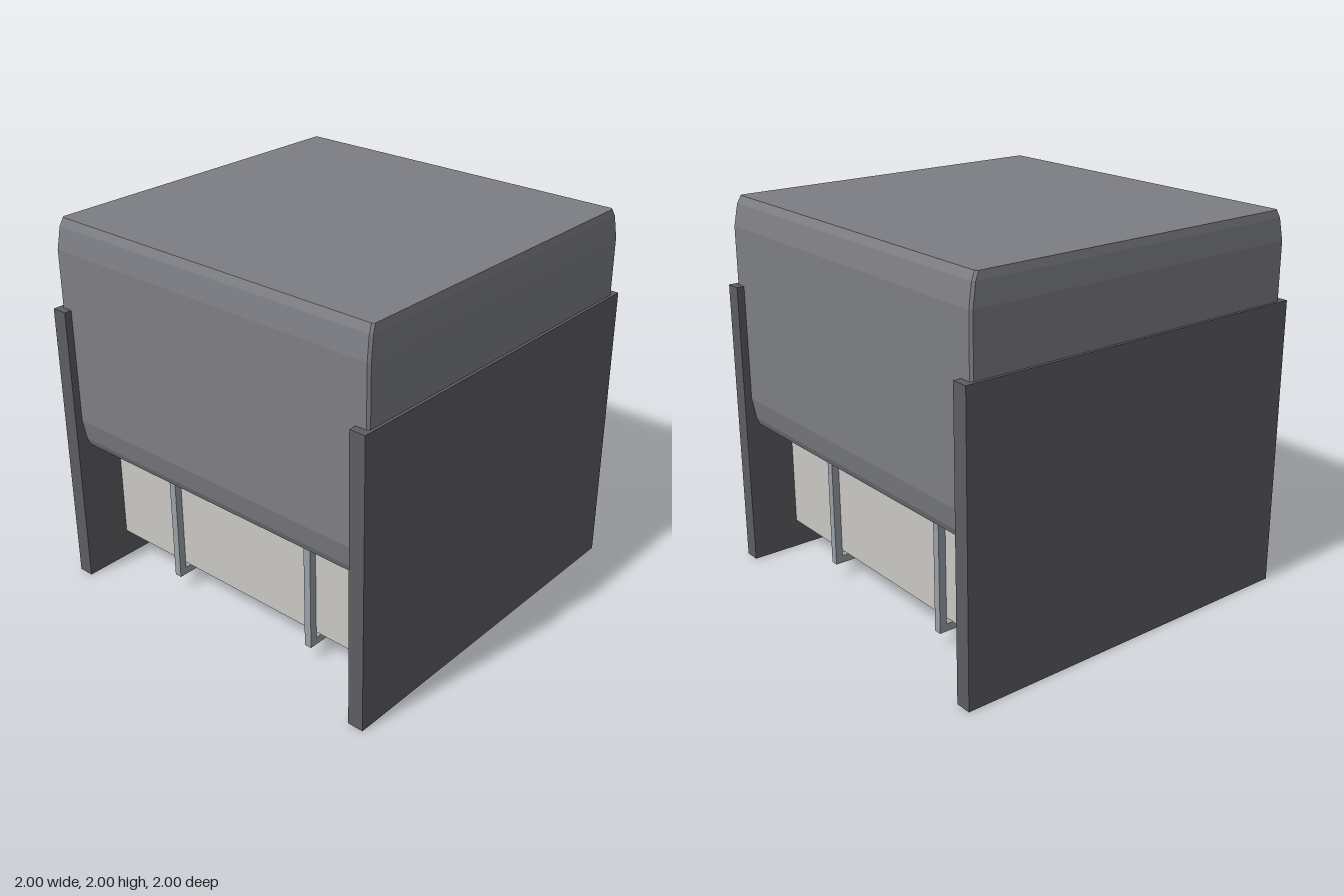
import * as THREE from 'three';

const mat = (name, color, flatShading = false) => {
  const m = new THREE.MeshStandardMaterial({ color, flatShading });
  m.name = name;
  return m;
};

// Stacks octagonal rings [y, halfX, halfZ] with small corner chamfers into a closed solid
function ringSolid(rings, chamfer) {
  const pos = [], index = [], n = 8;
  for (const [y, a, b] of rings) {
    const c = chamfer;
    const loop = [[a, b - c], [a - c, b], [c - a, b], [-a, b - c], [-a, c - b], [c - a, -b], [a - c, -b], [a, c - b]];
    for (const [x, z] of loop) pos.push(x, y, z);
  }
  for (let r = 0; r < rings.length - 1; r++) {
    for (let i = 0; i < n; i++) {
      const j = (i + 1) % n, p = r * n, q = p + n;
      index.push(p + i, q + i, p + j, p + j, q + i, q + j);
    }
  }
  const top = (rings.length - 1) * n;
  for (let i = 1; i < n - 1; i++) {
    index.push(0, i, i + 1);
    index.push(top, top + i + 1, top + i);
  }
  const g = new THREE.BufferGeometry();
  g.setAttribute('position', new THREE.Float32BufferAttribute(pos, 3));
  g.setIndex(index);
  const flat = g.toNonIndexed();
  flat.computeVertexNormals();
  return flat;
}

export function createModel() {
  const group = new THREE.Group();
  const upholstery = mat('grey upholstery', 0x7d7e83, true);
  const panel = mat('dark panel', 0x5d5c62);
  const base = mat('pale base', 0xcac8c3);
  const metal = mat('metal', 0x9ba1a8);

  const box = (name, material, size, at, parent = group) => {
    const m = new THREE.Mesh(new THREE.BoxGeometry(...size), material);
    m.name = name;
    m.position.set(...at);
    parent.add(m);
  };

  // Cushion with softened top and bottom edges; rings run upward
  const cushionGeo = ringSolid([
    [0.775, 0.972, 0.92],
    [0.815, 0.976, 0.938],
    [0.93, 0.985, 0.96],
    [1.845, 0.985, 0.96],
    [1.96, 0.978, 0.94],
    [2, 0.972, 0.92],
  ], 0.012);
  const cushion = new THREE.Mesh(cushionGeo, upholstery);
  cushion.name = 'cushion';
  group.add(cushion);

  // Recessed box below the cushion
  box('baseBox', base, [1.84, 0.645, 1.47], [0, 0.4775, 0]);

  for (const s of [1, -1]) {
    const side = s > 0 ? 'left' : 'right';
    // Standing side panel
    box(side + 'Panel', panel, [0.085, 1.54, 2], [s * 0.9575, 0.77, 0]);

    // U-shaped strap: front and back posts joined by a bar under the base
    const strap = new THREE.Group();
    strap.name = side + 'Strap';
    group.add(strap);
    const x = s * 0.463;
    box('strapBar', metal, [0.04, 0.04, 1.55], [x, 0.1, 0], strap);
    for (const z of [1, -1]) {
      box(z > 0 ? 'frontPost' : 'backPost', metal, [0.04, 0.68, 0.04], [x, 0.46, z * 0.755], strap);
    }
  }
  return group;
}
